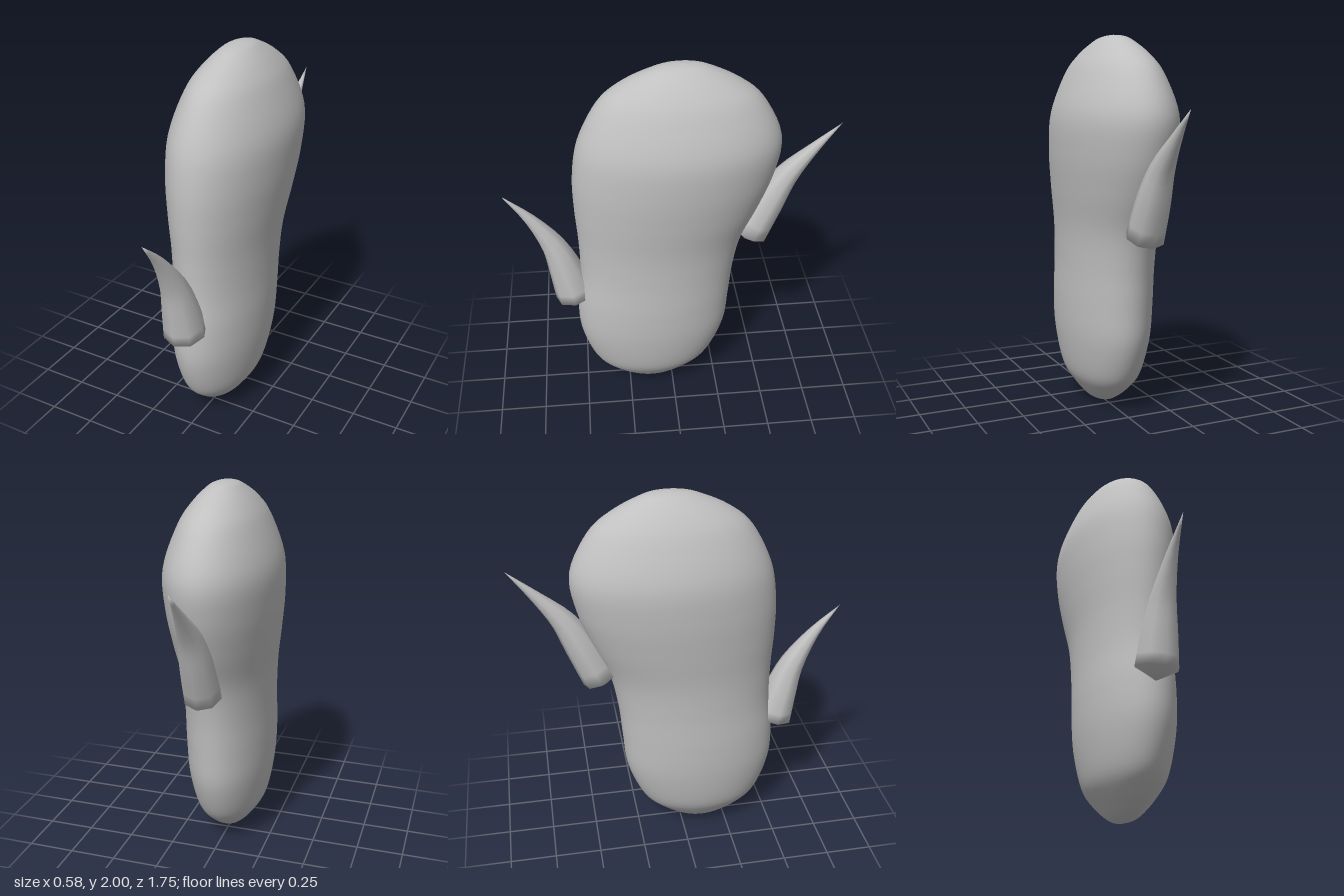
import * as THREE from 'three';
import { mergeVertices } from 'three/addons/utils/BufferGeometryUtils.js';

const V = (x, y, z) => new THREE.Vector3(x, y, z);

// Skins elliptical rings { c: centre, t: axis direction, rx, rv }, listed from bottom to top
function loft(rings, sides) {
  const pos = [], idx = [];
  for (const { c, t, rx, rv } of rings) {
    const v = V(1, 0, 0).cross(t).normalize();
    for (let j = 0; j < sides; j++) {
      const a = (j / sides) * Math.PI * 2;
      const p = c.clone().addScaledVector(v, Math.sin(a) * rv);
      pos.push(p.x + Math.cos(a) * rx, p.y, p.z);
    }
  }
  for (let i = 0; i < rings.length - 1; i++) {
    for (let j = 0; j < sides; j++) {
      const a = i * sides + j, b = i * sides + ((j + 1) % sides);
      idx.push(a, a + sides, b, b, a + sides, b + sides);
    }
  }
  const geo = new THREE.BufferGeometry();
  geo.setAttribute('position', new THREE.Float32BufferAttribute(pos, 3));
  geo.setIndex(idx);
  const merged = mergeVertices(geo, 1e-5);
  merged.computeVertexNormals();
  return merged;
}

const spline = (pts) => new THREE.CatmullRomCurve3(pts, false, 'catmullrom', 0.5);

// Body profile: height, front z, back z, half width
const PROFILE = [
  [0, 0.11, 0.11, 0], [0.008, 0.19, 0.04, 0.04], [0.03, 0.26, -0.02, 0.078],
  [0.1, 0.37, -0.125, 0.135], [0.2, 0.455, -0.22, 0.188], [0.4, 0.518, -0.3, 0.223],
  [0.6, 0.522, -0.322, 0.233], [0.8, 0.5, -0.34, 0.232], [1.0, 0.5, -0.38, 0.24],
  [1.2, 0.51, -0.465, 0.265], [1.4, 0.508, -0.535, 0.285], [1.6, 0.472, -0.557, 0.282],
  [1.8, 0.37, -0.46, 0.213], [1.9, 0.255, -0.345, 0.152], [1.97, 0.11, -0.21, 0.085],
  [1.992, 0.03, -0.14, 0.045], [2, -0.055, -0.055, 0],
];

function bodyGeometry() {
  const depth = spline(PROFILE.map(([y, f, b]) => V(f, y, b)));
  const width = spline(PROFILE.map(([y, , , w]) => V(w, y, 0)));
  const rings = [], n = 80;
  for (let i = 0; i <= n; i++) {
    const d = depth.getPoint(i / n), w = width.getPoint(i / n).x;
    rings.push({ c: V(0, d.y, (d.x + d.z) / 2), t: V(0, 1, 0), rx: w, rv: (d.x - d.z) / 2 });
  }
  return loft(rings, 64);
}

// Curved thorn from stations [radius, y, z], with a shallow pointed cap at its base
function hornGeometry(stations) {
  const curve = spline(stations.map((s) => V(...s)));
  const rings = [], n = 12;
  for (let i = 0; i <= n; i++) {
    const p = curve.getPoint(i / n);
    const t = curve.getTangent(i / n).setX(0).normalize();
    const r = i === n ? 0 : Math.max(p.x, 0);
    const c = V(0, p.y, p.z);
    if (i === 0) rings.push({ c: c.clone().addScaledVector(t, -0.06), t, rx: 0, rv: 0 });
    rings.push({ c, t, rx: r, rv: r });
  }
  return loft(rings, 8);
}

export function createModel() {
  const group = new THREE.Group();
  const grey = new THREE.MeshStandardMaterial({ color: 0xc0c0c0 });
  grey.name = 'light grey';
  const add = (name, geometry) => {
    const mesh = new THREE.Mesh(geometry, grey);
    mesh.name = name;
    group.add(mesh);
  };

  add('body', bodyGeometry());
  add('frontThorn', hornGeometry([
    [0.113, 0.635, 0.535], [0.095, 0.8, 0.575], [0.068, 0.965, 0.63], [0.032, 1.145, 0.74], [0, 1.3, 0.875],
  ]));
  add('backThorn', hornGeometry([
    [0.1, 0.995, -0.43], [0.088, 1.19, -0.52], [0.064, 1.345, -0.605], [0.032, 1.485, -0.725], [0, 1.637, -0.87],
  ]));
  return group;
}
